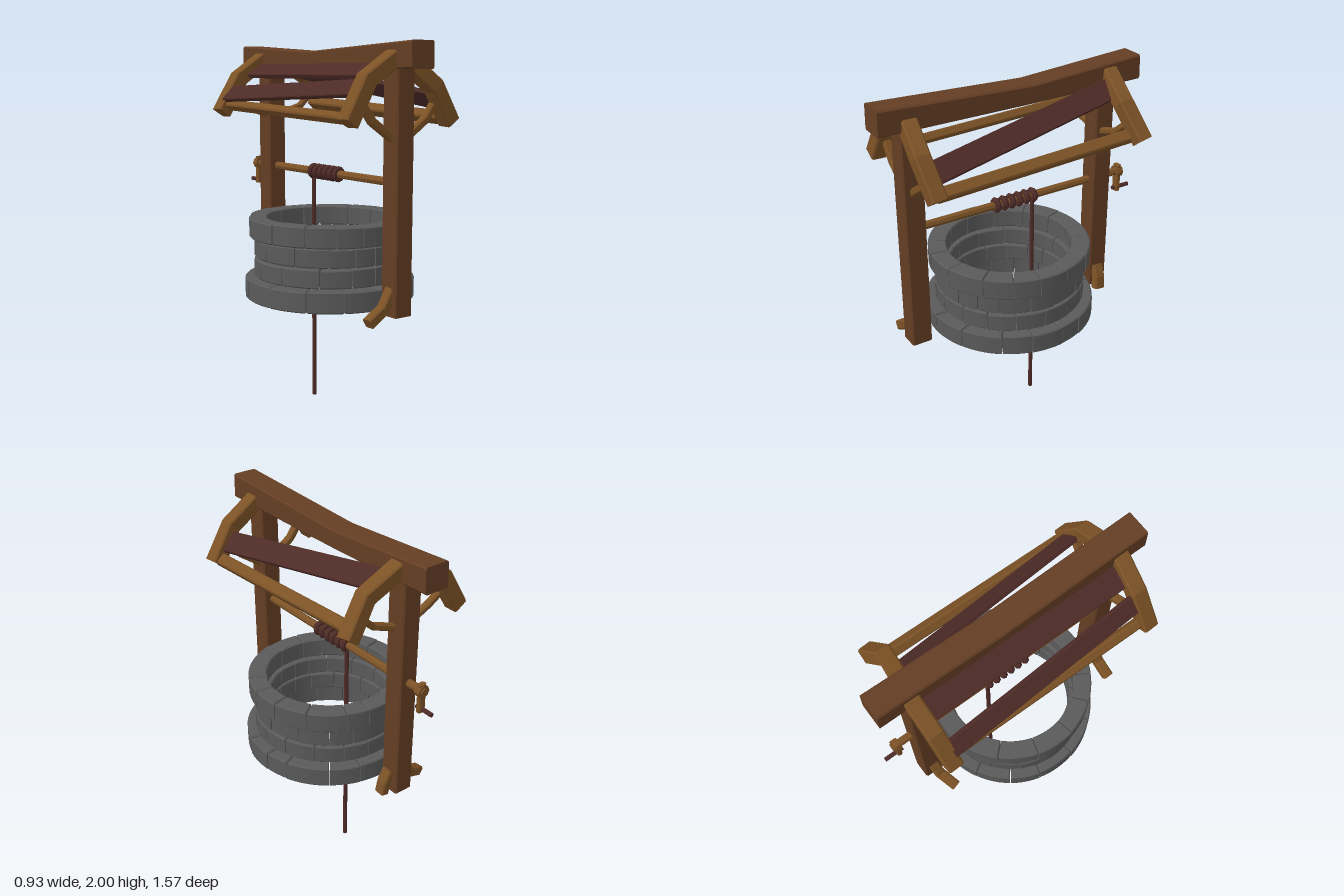
import * as THREE from 'three';

const material = (color) => new THREE.MeshStandardMaterial({ color, flatShading: true });
const WOOD = material(0x643e24);
const PALE = material(0x7c5226);
const DARK = material(0x4e2b27);
const STONE = material(0x5a5a5a);

// Bent timber: a chamfered rectangle swept along points.
// height runs along ref, width across it; height may differ per point.
function timber(name, points, width, height, ref, mat, chamfer = 0.008) {
  const pts = points.map((p) => new THREE.Vector3(...p));
  const up = new THREE.Vector3(...ref);
  const last = pts.length - 1;
  const rings = pts.map((p, i) => {
    const t = pts[Math.min(i + 1, last)].clone().sub(pts[Math.max(i - 1, 0)]).normalize();
    const v = up.clone().addScaledVector(t, -up.dot(t)).normalize();
    const u = v.clone().cross(t);
    const a = width / 2, b = (Array.isArray(height) ? height[i] : height) / 2, c = chamfer;
    return [[a, c - b], [a, b - c], [a - c, b], [c - a, b], [-a, b - c], [-a, c - b], [c - a, -b], [a - c, -b]]
      .map(([x, y]) => p.clone().addScaledVector(u, x).addScaledVector(v, y));
  });
  const tris = [];
  for (let i = 0; i < last; i++) {
    for (let k = 0; k < 8; k++) {
      const n = (k + 1) % 8, r = rings[i], s = rings[i + 1];
      tris.push(r[k], r[n], s[n], r[k], s[n], s[k]);
    }
  }
  for (let k = 1; k < 7; k++) {
    tris.push(rings[0][0], rings[0][k + 1], rings[0][k]);
    tris.push(rings[last][0], rings[last][k], rings[last][k + 1]);
  }
  const geo = new THREE.BufferGeometry().setFromPoints(tris);
  geo.computeVertexNormals();
  const mesh = new THREE.Mesh(geo, mat);
  mesh.name = name;
  return mesh;
}

// Round bar between two points
function rod(name, from, to, radius, mat) {
  const a = new THREE.Vector3(...from), b = new THREE.Vector3(...to);
  const dir = b.clone().sub(a);
  const mesh = new THREE.Mesh(new THREE.CylinderGeometry(radius, radius, dir.length(), 8), mat);
  mesh.position.copy(a).add(b).multiplyScalar(0.5);
  mesh.quaternion.setFromUnitVectors(new THREE.Vector3(0, 1, 0), dir.normalize());
  mesh.name = name;
  return mesh;
}

let seed = 7;
const random = () => (seed = (seed * 16807) % 2147483647) / 2147483647;

// One course of bevelled, uneven wedge stones
function stoneCourse(name, inner, outer, bottom, top, count, turn) {
  const group = new THREE.Group();
  group.name = name;
  const widths = Array.from({ length: count }, () => 0.7 + random() * 0.6);
  const total = widths.reduce((s, w) => s + w, 0);
  const bevel = 0.006;
  let angle = turn;
  for (const w of widths) {
    const sweep = (w / total) * Math.PI * 2;
    const r = outer - random() * 0.006;
    const gap = 0.008;
    const shape = new THREE.Shape();
    shape.absarc(0, 0, r - bevel, angle + gap / r, angle + sweep - gap / r, false);
    shape.absarc(0, 0, inner + bevel, angle + sweep - gap / inner, angle + gap / inner, true);
    shape.closePath();
    const depth = top - bottom - 2 * bevel - random() * 0.005;
    const geo = new THREE.ExtrudeGeometry(shape, {
      depth, curveSegments: 3, bevelEnabled: true, bevelSize: bevel, bevelThickness: bevel, bevelSegments: 1,
    });
    geo.rotateX(-Math.PI / 2).translate(0, bottom + bevel, 0.02);
    const stone = new THREE.Mesh(geo, STONE);
    stone.name = 'stone';
    group.add(stone);
    angle += sweep;
  }
  return group;
}

export function createModel() {
  const well = new THREE.Group();
  well.name = 'well';
  const Y = [0, 1, 0], Z = [0, 0, 1];

  // Stone wall
  well.add(
    stoneCourse('baseCourse', 0.365, 0.47, 0.63, 0.745, 15, 0.1),
    stoneCourse('lowerCourse', 0.33, 0.418, 0.748, 0.85, 16, 0.3),
    stoneCourse('upperCourse', 0.33, 0.418, 0.856, 0.957, 16, 0.5),
    stoneCourse('rimCourse', 0.345, 0.448, 0.963, 1.075, 15, 0.2),
  );

  // Posts and sagging ridge beam
  well.add(
    timber('frontPost', [[0, 0.63, 0.6], [0, 1.9, 0.6]], 0.11, 0.115, Z, WOOD),
    timber('backPost', [[0, 0.63, -0.56], [0, 1.9, -0.56]], 0.11, 0.115, Z, WOOD),
    timber('ridgeBeam', [[0, 1.9325, 0.775], [0, 1.91, -0.09], [0, 1.9325, -0.765]], 0.14, [0.135, 0.1, 0.135], Y, WOOD),
  );

  // Crooked rafters
  const rafters = {
    frontLeftRafter: [[0.04, 1.9, 0.61], [0.2, 1.78, 0.628], [0.325, 1.6, 0.61]],
    frontRightRafter: [[-0.04, 1.925, 0.62], [-0.21, 1.815, 0.61], [-0.33, 1.61, 0.62]],
    backLeftRafter: [[0.04, 1.935, -0.57], [0.23, 1.82, -0.54], [0.36, 1.65, -0.575]],
    backRightRafter: [[-0.04, 1.925, -0.585], [-0.21, 1.815, -0.58], [-0.335, 1.62, -0.57]],
  };
  for (const [name, pts] of Object.entries(rafters)) well.add(timber(name, pts, 0.085, 0.085, Z, PALE));

  // Eave rails
  well.add(
    timber('leftEaveRail', [[0.3, 1.62, 0.6], [0.295, 1.665, -0.56]], 0.065, 0.055, [0.5, 0.6, 0], PALE),
    timber('rightEaveRail', [[-0.3, 1.63, 0.6], [-0.3, 1.665, -0.56]], 0.05, 0.05, [-0.5, 0.6, 0], PALE),
  );

  // Loose roof boards
  well.add(
    timber('leftRoofBoard', [[0.245, 1.71, 0.58], [0.115, 1.868, -0.55]], 0.12, 0.028, [0.7, 0.7, 0], DARK, 0.004),
    timber('rightUpperBoard', [[-0.122, 1.855, 0.59], [-0.122, 1.855, -0.55]], 0.12, 0.028, [-0.5, 0.85, 0], DARK, 0.004),
    timber('rightLowerBoard', [[-0.25, 1.775, 0.58], [-0.3, 1.725, -0.55]], 0.1, 0.028, [-0.75, 0.65, 0], DARK, 0.004),
  );

  // Bent braces between posts and rafters
  for (const side of [-1, 1]) {
    well.add(
      timber('frontBrace', [[side * 0.24, 1.71, 0.6], [side * 0.17, 1.615, 0.6], [side * 0.03, 1.52, 0.6]], 0.04, 0.045, Z, PALE),
      timber('backBrace', [[side * 0.26, 1.72, -0.55], [side * 0.18, 1.65, -0.535], [side * 0.03, 1.6, -0.55]], 0.035, 0.04, Z, PALE),
    );
  }

  // Foot struts
  well.add(
    timber('frontFootStrut', [[-0.03, 0.77, 0.6], [-0.09, 0.675, 0.605], [-0.19, 0.615, 0.61]], 0.055, 0.06, Z, PALE),
    timber('backFootStrut', [[-0.03, 0.77, -0.56], [-0.09, 0.675, -0.55], [-0.19, 0.62, -0.515]], 0.055, 0.06, Z, PALE),
    timber('backFootStub', [[0.05, 0.755, -0.555], [0.08, 0.69, -0.55], [0.09, 0.62, -0.545]], 0.05, 0.065, Z, PALE),
  );

  // Windlass: axle, rope coils, hanging rope and crank
  well.add(
    rod('axle', [0, 1.305, 0.57], [0, 1.305, -0.735], 0.022, PALE),
    rod('rope', [0, 1.3, -0.13], [0, 0, -0.13], 0.012, DARK),
    timber('crankArm', [[0, 1.345, -0.708], [0, 1.185, -0.708]], 0.045, 0.03, Z, PALE),
    rod('crankHandle', [0, 1.203, -0.68], [0, 1.203, -0.79], 0.012, DARK),
    rod('crankPin', [0, 1.305, -0.69], [0, 1.305, -0.727], 0.035, PALE),
  );
  for (let i = 0; i < 6; i++) {
    const coil = new THREE.Mesh(new THREE.TorusGeometry(0.026, 0.018, 6, 12), DARK);
    coil.name = 'ropeCoil';
    coil.position.set(0, 1.305, 0.1 - i * 0.046);
    well.add(coil);
  }
  return well;
}
